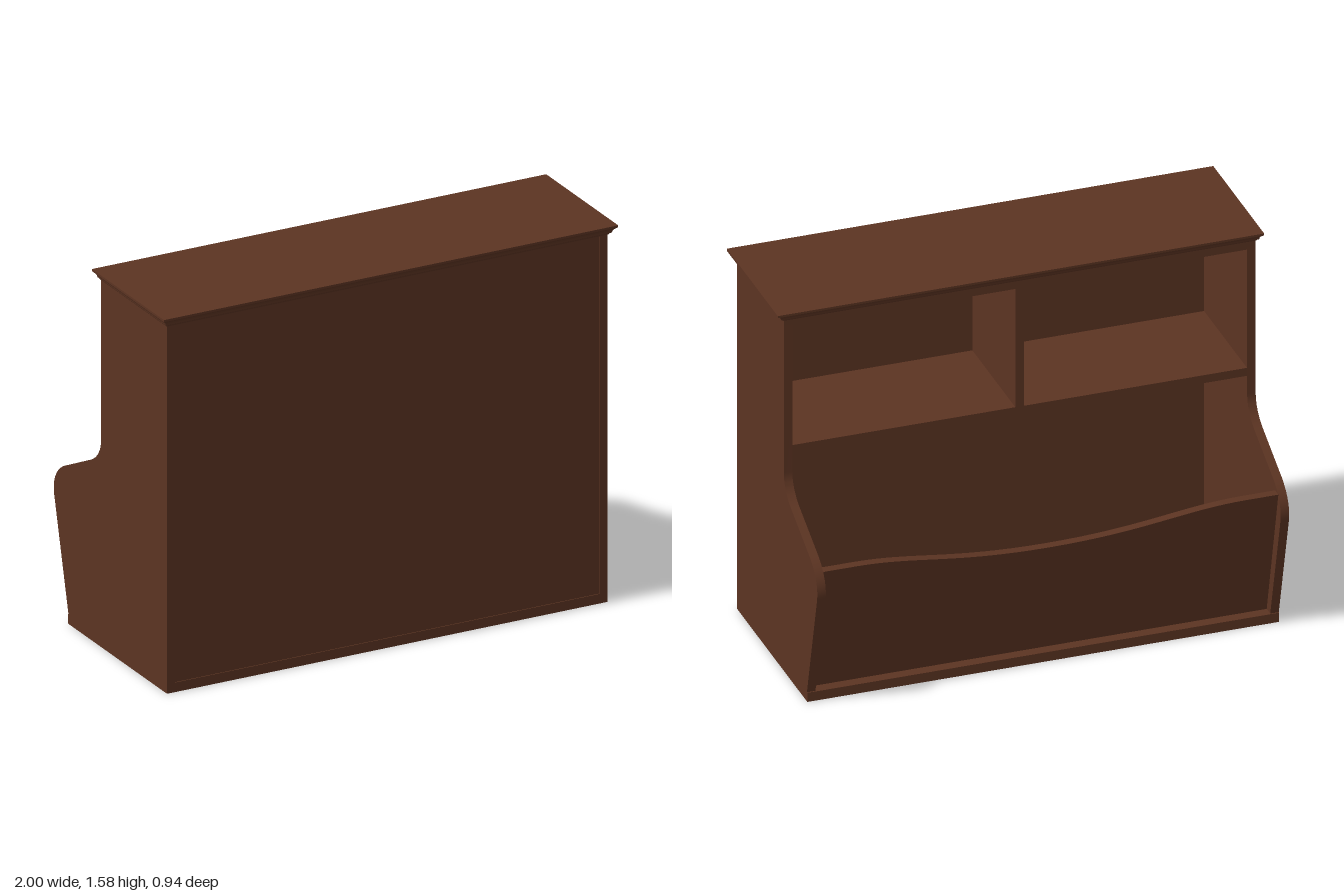
import * as THREE from 'three';
import { toCreasedNormals } from 'three/addons/utils/BufferGeometryUtils.js';

const CX = -0.005;        // centre line of the carcass
const T = 0.035;          // board thickness
const LEFT = 0.965, RIGHT = -0.975;

export function createModel() {
  const group = new THREE.Group();
  const wood = new THREE.MeshStandardMaterial({ color: 0x5c3422 });
  wood.name = 'brown wood';

  const add = (name, geometry) => {
    const mesh = new THREE.Mesh(geometry, wood);
    mesh.name = name;
    group.add(mesh);
    return mesh;
  };
  // Box given by its limits on each axis
  const board = (name, x0, x1, y0, y1, z0, z1) =>
    add(name, new THREE.BoxGeometry(x1 - x0, y1 - y0, z1 - z0))
      .position.set((x0 + x1) / 2, (y0 + y1) / 2, (z0 + z1) / 2);

  // Curved side panels, drawn in (z, y) and extruded along x
  const profile = new THREE.Shape();
  profile.moveTo(0.45, 0.04);
  profile.lineTo(0.45, 1.54);
  profile.lineTo(-0.085, 1.54);
  profile.lineTo(-0.085, 0.87);
  profile.bezierCurveTo(-0.085, 0.82, -0.12, 0.78, -0.165, 0.757);
  profile.lineTo(-0.385, 0.65);
  profile.bezierCurveTo(-0.44, 0.62, -0.48, 0.57, -0.467, 0.505);
  profile.lineTo(-0.35, 0.04);
  const sideGeometry = toCreasedNormals(
    new THREE.ExtrudeGeometry(profile, { depth: T, bevelEnabled: false, curveSegments: 14 })
      .rotateY(-Math.PI / 2), 0.5);
  add('leftSide', sideGeometry).position.x = LEFT;
  add('rightSide', sideGeometry).position.x = RIGHT + T;

  // Carcass boards between the sides
  const inL = LEFT - T, inR = RIGHT + T;
  board('base', RIGHT, LEFT, 0, 0.04, -0.355, 0.45);
  board('backPanel', inR, inL, 0.04, 1.54, 0.41, 0.446);
  board('shelf', inR, inL, 0.95, 0.985, -0.083, 0.41);
  board('ceiling', inR, inL, 1.505, 1.54, -0.083, 0.41);
  board('divider', CX - T / 2, CX + T / 2, 0.985, 1.505, -0.083, 0.41);

  // Leaning bin panel with a dipped top edge
  const w = (inL - inR) / 2;
  const front = new THREE.Shape();
  front.moveTo(-w, 0.04);
  front.lineTo(w, 0.04);
  front.lineTo(w, 0.61);
  front.lineTo(0.8, 0.61);
  front.bezierCurveTo(0.55, 0.61, 0.4, 0.54, 0, 0.54);
  front.bezierCurveTo(-0.4, 0.54, -0.55, 0.61, -0.8, 0.61);
  front.lineTo(-w, 0.61);
  const binGeometry = new THREE.ExtrudeGeometry(front, { depth: 0.038, bevelEnabled: false, curveSegments: 16 });
  const p = binGeometry.attributes.position;
  for (let i = 0; i < p.count; i++) p.setZ(i, p.getZ(i) - 0.235 * (p.getY(i) - 0.04));
  add('binPanel', toCreasedNormals(binGeometry, 0.5)).position.set(CX, 0, -0.309);

  // Crown moulding: rectangles growing upward, as [height, flare 0..1]
  const steps = [[1.54, 0.05], [1.546, 0.2], [1.549, 0.4], [1.556, 0.46], [1.563, 0.6], [1.569, 0.85], [1.571, 1], [1.58, 1]];
  const loops = steps.map(([y, f]) => {
    const x0 = RIGHT - 0.025 * f, x1 = LEFT + 0.035 * f;
    const z0 = -0.085 - 0.028 * f, z1 = 0.45 + 0.022 * f;
    return [[x0, y, z1], [x1, y, z1], [x1, y, z0], [x0, y, z0]];
  });
  const verts = [];
  const quad = (a, b, c, d) => verts.push(...a, ...b, ...c, ...a, ...c, ...d);
  for (let i = 0; i < loops.length - 1; i++) {
    for (let k = 0; k < 4; k++) {
      const n = (k + 1) % 4;
      quad(loops[i][k], loops[i][n], loops[i + 1][n], loops[i + 1][k]);
    }
  }
  quad(...loops[loops.length - 1]);
  quad(...loops[0].slice().reverse());
  const crown = new THREE.BufferGeometry();
  crown.setAttribute('position', new THREE.Float32BufferAttribute(verts, 3));
  crown.computeVertexNormals();
  add('crownTop', crown);

  return group;
}
